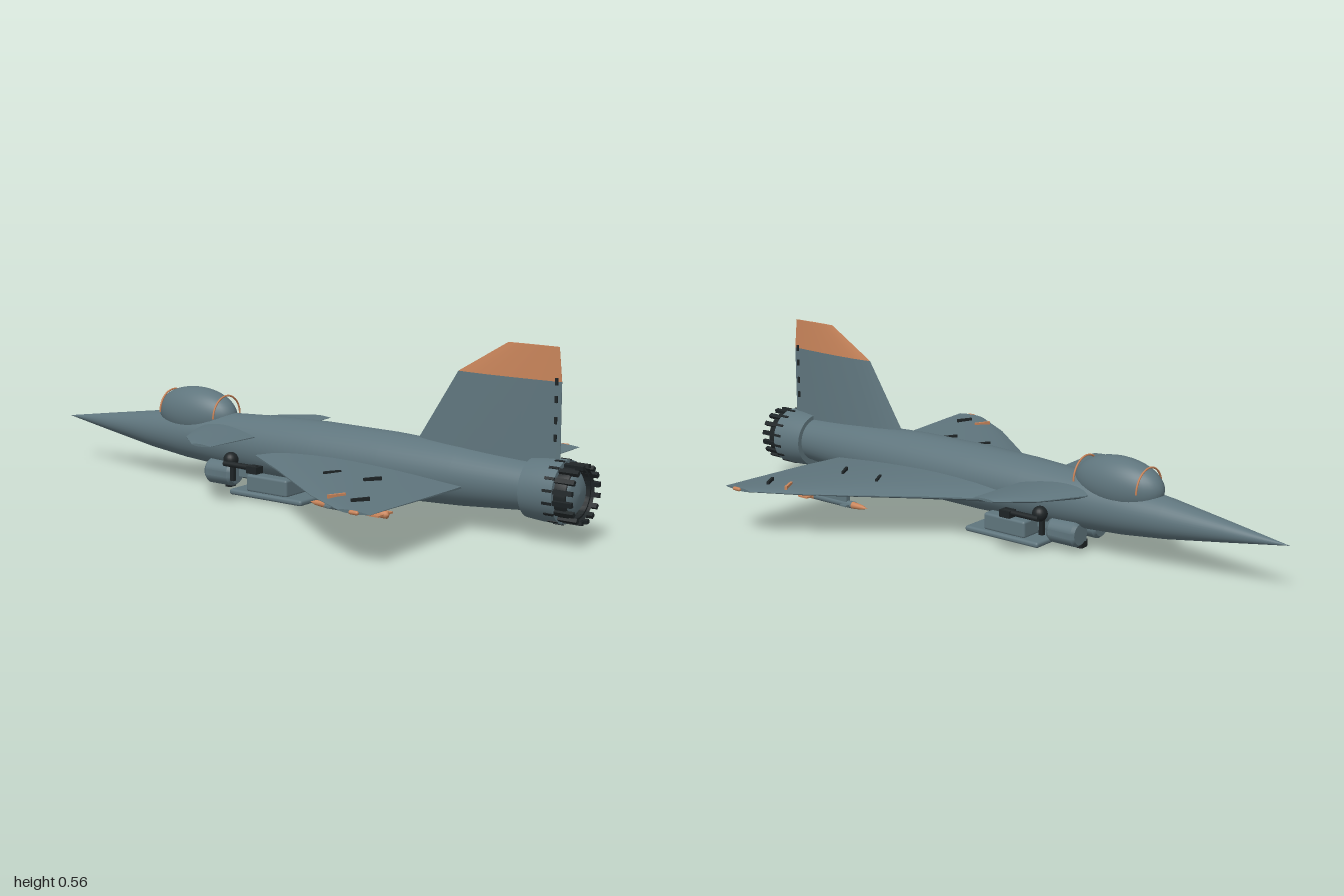
import * as THREE from 'three';
import { toCreasedNormals } from 'three/addons/utils/BufferGeometryUtils.js';
import { RoundedBoxGeometry } from 'three/addons/geometries/RoundedBoxGeometry.js';

const mat = (name, color) => {
  const m = new THREE.MeshStandardMaterial({ color });
  m.name = name;
  return m;
};

// Lofted aerofoil spanning +x (or -x when side is -1).
// Each section is [span, leading z, trailing z, centre y, half thickness].
function foil(sections, side = 1) {
  const N = 10, pos = [], idx = [];
  const ring = 2 * (N + 1);
  for (const [x, z0, z1, yc, h] of sections) {
    const put = (t, s) => {
      const k = Math.max(0.08, Math.pow(Math.sin(Math.PI * Math.pow(t, 0.75)), 0.8) || 0);
      pos.push(x * side, yc + s * h * k, z0 + (z1 - z0) * t);
    };
    for (let j = 0; j <= N; j++) put(j / N, 1);
    for (let j = N; j >= 0; j--) put(j / N, -1);
  }
  const tri = (a, b, c) => (side > 0 ? idx.push(a, b, c) : idx.push(a, c, b));
  for (let i = 0; i < sections.length - 1; i++) {
    for (let j = 0; j < ring; j++) {
      const a = i * ring + j, b = i * ring + (j + 1) % ring;
      tri(a, b, b + ring);
      tri(a, b + ring, a + ring);
    }
  }
  const end = (sections.length - 1) * ring;
  for (let j = 1; j < ring - 1; j++) {
    tri(0, j + 1, j);
    tri(end, end + j, end + j + 1);
  }
  const g = new THREE.BufferGeometry();
  g.setAttribute('position', new THREE.Float32BufferAttribute(pos, 3));
  g.setIndex(idx);
  return toCreasedNormals(g.toNonIndexed(), 0.5);
}

// Surface of revolution along z from [z, radius] pairs
function spun(profile, segments = 40) {
  const g = new THREE.LatheGeometry(profile.map(([z, r]) => new THREE.Vector2(r, z)), segments);
  return g.rotateX(Math.PI / 2);
}

export function createModel() {
  const root = new THREE.Group();
  root.name = 'jet';
  const slate = mat('slate grey', 0x5f757d);
  const orange = mat('copper orange', 0xc8845a);
  const dark = mat('near black', 0x1e2426);
  const CY = 0.153;

  const add = (name, geo, material, x = 0, y = 0, z = 0) => {
    const m = new THREE.Mesh(geo, material);
    m.name = name;
    m.position.set(x, y, z);
    root.add(m);
    return m;
  };
  const box = (w, h, d) => new THREE.BoxGeometry(w, h, d);

  // Fuselage
  add('fuselage', spun([[-1, 0], [-0.8, 0.031], [-0.6, 0.061], [-0.45, 0.077], [-0.3, 0.086],
    [-0.1, 0.097], [0.1, 0.102], [0.35, 0.1], [0.6, 0.089], [0.84, 0.07]]), slate, 0, CY, 0);

  // Canopy with its two hoops
  const bubble = new THREE.SphereGeometry(1, 36, 24);
  bubble.scale(0.072, 0.084, 0.155);
  add('canopy', bubble, slate, 0, 0.228, -0.42);
  for (const z of [-0.3, -0.525]) {
    add('canopyHoop', new THREE.TorusGeometry(0.067, 0.003, 8, 32, Math.PI), orange, 0, 0.227, z);
  }

  // Exhaust nozzle
  add('nozzle', toCreasedNormals(spun([[0.83, 0.065], [0.83, 0.087], [0.88, 0.091], [0.94, 0.092],
    [0.94, 0.074]]).toNonIndexed(), 0.5), slate, 0, 0.15, 0);
  add('nozzleLiner', spun([[0.985, 0.076], [0.92, 0.076], [0.92, 0.06]]), dark, 0, 0.15, 0);
  add('nozzleRing', spun([[0.93, 0.079], [0.975, 0.079], [0.975, 0.07]]), dark, 0, 0.15, 0);
  add('nozzleCore', spun([[0.92, 0.066], [0.96, 0.064], [0.975, 0.045], [0.98, 0]]), slate, 0, 0.15, 0);
  for (let i = 0; i < 16; i++) {
    const a = (i + 0.5) / 16 * Math.PI * 2;
    const petal = add('nozzlePetal', box(0.012, 0.014, 0.075), dark,
      Math.cos(a) * 0.081, 0.15 + Math.sin(a) * 0.081, 0.9625);
    petal.rotation.z = a;
    const bolt = add('nozzleBolt', box(0.006, 0.008, 0.03), dark,
      Math.cos(a) * 0.091, 0.15 + Math.sin(a) * 0.091, 0.925);
    bolt.rotation.z = a;
  }

  // Tail fin with coloured tip; the loft is turned upright
  const fin = (sections) => foil(sections).rotateZ(Math.PI / 2);
  add('tailFin', fin([[0.19, 0.405, 0.915, 0, 0.022], [0.245, 0.44, 0.915, 0, 0.02],
    [0.46, 0.575, 0.915, 0, 0.009]]), slate);
  add('tailFinTip', fin([[0.46, 0.575, 0.915, 0, 0.009], [0.558, 0.74, 0.905, 0, 0.003]]), orange);
  for (const y of [0.3, 0.35, 0.41, 0.46]) add('rudderHinge', box(0.012, 0.02, 0.008), dark, 0, y, 0.9);

  for (const s of [1, -1]) {
    // Main wing
    add('wing', foil([[0.05, -0.17, 0.64, 0.137, 0.035], [0.1, -0.1, 0.645, 0.138, 0.033],
      [0.245, 0.1, 0.655, 0.144, 0.024], [0.475, 0.4, 0.663, 0.151, 0.011],
      [0.57, 0.56, 0.667, 0.153, 0.005]], s), slate);
    const tip = new THREE.CapsuleGeometry(0.006, 0.02, 4, 10).rotateX(Math.PI / 2);
    add('wingTipLight', tip, orange, s * 0.572, 0.153, 0.615);

    // Slanted blades on the wing top
    for (const [x, z, y, m] of [[0.258, 0.312, 0.164, dark], [0.258, 0.455, 0.164, dark],
      [0.475, 0.488, 0.16, orange], [0.475, 0.568, 0.16, dark]]) {
      const blade = add('wingBlade', box(0.055, 0.018, 0.008), m, s * x, y, z);
      blade.rotation.y = (m === dark && x < 0.3 ? 1 : -1) * s * 0.5;
      if (x < 0.3) blade.rotation.y = s * 0.5;
      else blade.rotation.y = (m === orange ? 0.45 : 0.5) * s;
    }

    // Canard
    add('canard', foil([[0.04, -0.37, -0.115, 0.193, 0.021], [0.09, -0.35, -0.115, 0.194, 0.02],
      [0.22, -0.28, -0.112, 0.197, 0.012], [0.305, -0.185, -0.11, 0.199, 0.004]], s), slate);

    // Missile under the wing
    const mx = s * 0.335, my = 0.093;
    add('pylon', box(0.016, 0.04, 0.14), slate, mx, 0.118, 0.44);
    add('missileBody', spun([[0.35, 0.011], [0.51, 0.011]], 16), slate, mx, my, 0);
    add('missileNose', spun([[0.29, 0], [0.31, 0.007], [0.35, 0.011]], 16), orange, mx, my, 0);
    add('missileTail', spun([[0.51, 0.011], [0.56, 0.011], [0.565, 0]], 16), orange, mx, my, 0);
    add('missileFin', box(0.07, 0.005, 0.04), orange, mx, my, 0.535);
    add('missileFin', box(0.05, 0.005, 0.025), slate, mx, my, 0.37);

    // Side gun and its mount
    add('gunMount', new THREE.SphereGeometry(0.024, 20, 14), dark, s * 0.1, 0.115, -0.2);
    const barrel = new THREE.CylinderGeometry(0.009, 0.009, 0.13, 12).rotateX(Math.PI / 2);
    add('gunBarrel', barrel, dark, s * 0.12, 0.105, -0.145);
    add('gunStrut', box(0.012, 0.07, 0.014), dark, s * 0.09, 0.08, -0.2);
    add('gunBracket', box(0.035, 0.022, 0.04), dark, s * 0.118, 0.1, -0.09);

    // Front drums of the belly pack
    add('bellyDrum', toCreasedNormals(spun([[-0.32, 0], [-0.32, 0.033], [-0.31, 0.041], [-0.225, 0.041],
      [-0.213, 0.033], [-0.213, 0]], 28).toNonIndexed(), 0.5), slate, s * 0.055, 0.061, 0);
  }

  // Belly pack
  add('bellyBox', new RoundedBoxGeometry(0.2, 0.055, 0.16, 2, 0.008), slate, 0, 0.048, -0.06);
  add('bellyPlate', new RoundedBoxGeometry(0.224, 0.018, 0.285, 3, 0.008), slate, 0, 0.014, -0.057);
  add('bellyLink', box(0.09, 0.05, 0.1), slate, 0, 0.075, -0.2);
  add('bellyFoot', box(0.03, 0.025, 0.02), dark, 0, 0.0125, -0.285);
  add('bellyFootStem', box(0.02, 0.06, 0.02), slate, 0, 0.05, -0.285);
  return root;
}
